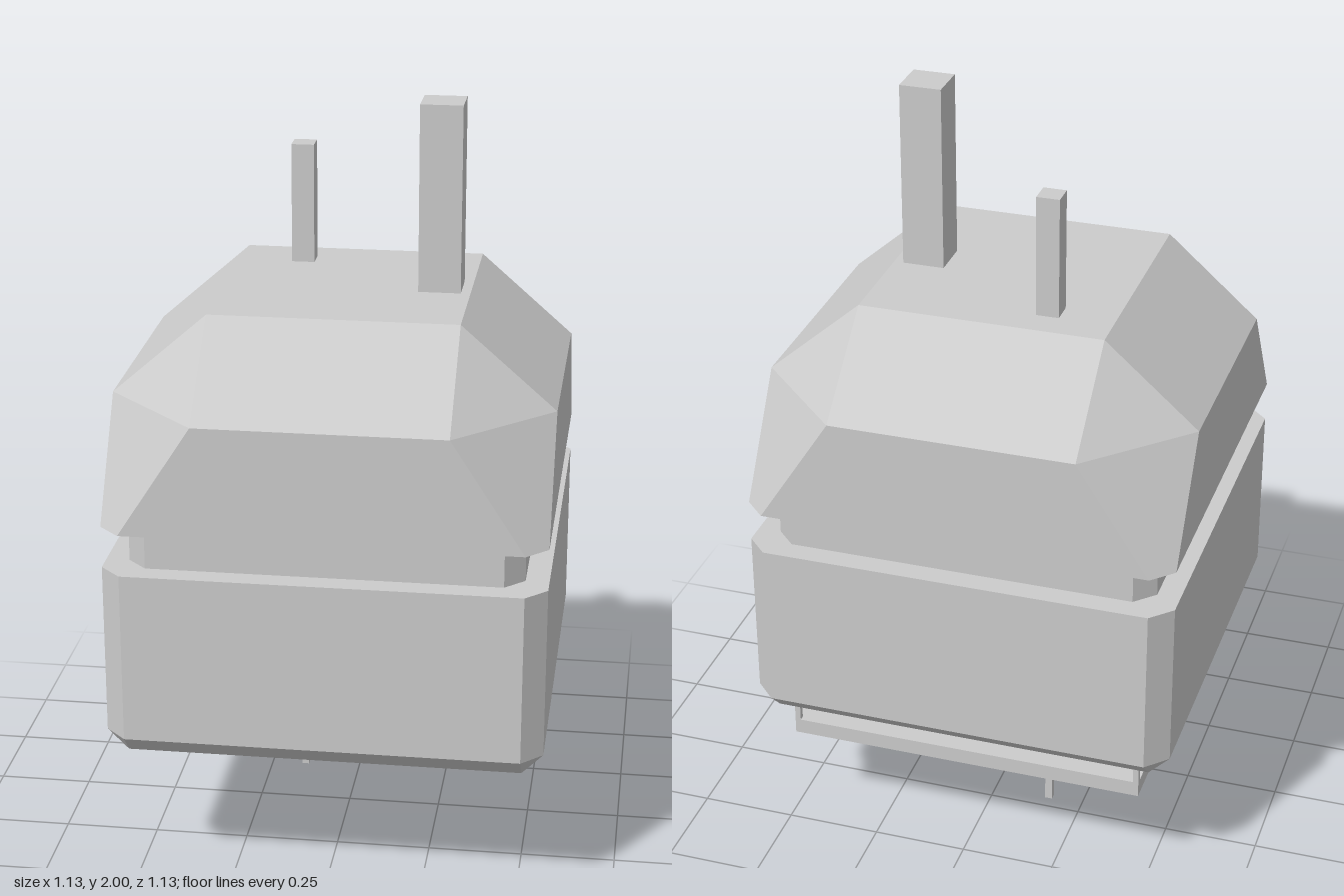
import * as THREE from 'three';

const material = new THREE.MeshStandardMaterial({ color: 0xcccccc, flatShading: true });

// Square ring with cut corners: h = half width, c = where the corner cut starts
function ring([y, h, c]) {
  return [[h, -c], [h, c], [c, h], [-c, h], [-h, c], [-h, -c], [-c, -h], [c, -h]]
    .map(([x, z]) => new THREE.Vector3(x, y, z));
}

// Closed solid through a stack of rings, listed from bottom to top
function loft(name, levels) {
  const rings = levels.map(ring);
  const pos = [];
  const tri = (a, b, c) => {
    const area = b.clone().sub(a).cross(c.clone().sub(a)).length();
    if (area > 1e-7) for (const p of [a, b, c]) pos.push(p.x, p.y, p.z);
  };
  for (let i = 0; i < rings.length - 1; i++) {
    const lo = rings[i], hi = rings[i + 1];
    for (let j = 0; j < 8; j++) {
      const k = (j + 1) % 8;
      tri(lo[j], hi[j], hi[k]);
      tri(lo[j], hi[k], lo[k]);
    }
  }
  // end caps
  const bottom = rings[0], top = rings[rings.length - 1];
  for (let j = 1; j < 7; j++) {
    tri(bottom[0], bottom[j], bottom[j + 1]);
    tri(top[0], top[j + 1], top[j]);
  }
  const geo = new THREE.BufferGeometry();
  geo.setAttribute('position', new THREE.Float32BufferAttribute(pos, 3));
  geo.computeVertexNormals();
  const mesh = new THREE.Mesh(geo, material);
  mesh.name = name;
  return mesh;
}

// Box given by its limits on each axis
function block(name, [x0, x1], [y0, y1], [z0, z1]) {
  const mesh = new THREE.Mesh(new THREE.BoxGeometry(x1 - x0, y1 - y0, z1 - z0), material);
  mesh.position.set((x0 + x1) / 2, (y0 + y1) / 2, (z0 + z1) / 2);
  mesh.name = name;
  return mesh;
}

export function createModel() {
  const model = new THREE.Group();
  model.name = 'cabin';

  // main volumes
  model.add(
    loft('body', [[0.38, 0.51, 0.51], [0.435, 0.565, 0.51], [0.89, 0.565, 0.51]]),
    loft('neck', [[0.89, 0.505, 0.455], [1.0, 0.505, 0.455]]),
    loft('roof', [[1.0, 0.565, 0.51], [1.295, 0.565, 0.32], [1.51, 0.32, 0.32]]),
  );

  // posts on the roof and the rod underneath
  model.add(
    block('largePost', [0.185, 0.295], [1.51, 2], [-0.055, 0.055]),
    block('smallPost', [-0.18, -0.12], [1.51, 1.83], [-0.24, -0.18]),
    block('lowerRod', [-0.165, -0.145], [0, 0.38], [-0.215, -0.195]),
  );

  // bar hung below the back edge on four short hangers
  const rail = new THREE.Group();
  rail.name = 'rearRail';
  rail.add(block('railBar', [-0.478, 0.478], [0.278, 0.32], [-0.485, -0.375]));
  for (const x of [-0.478, 0.463])
    for (const z of [-0.485, -0.39])
      rail.add(block('railHanger', [x, x + 0.015], [0.32, 0.38], [z, z + 0.015]));
  model.add(rail);

  return model;
}
